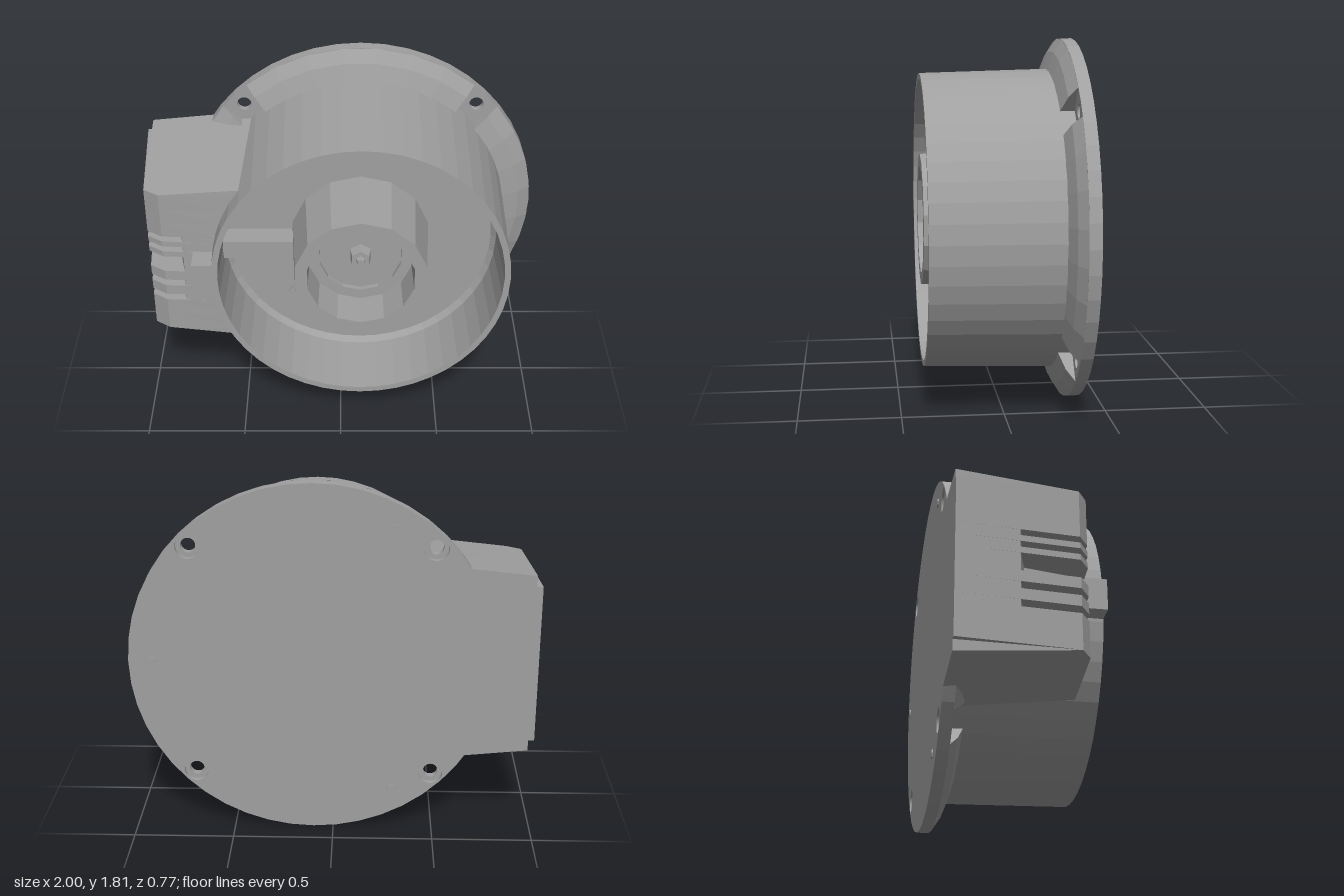
import * as THREE from 'three';

const CX = 0.1, CY = 0.905, BACK = -0.38;
const metal = new THREE.MeshStandardMaterial({ color: 0xa0a0a0, flatShading: true, side: THREE.DoubleSide });
metal.name = 'grey metal';

function add(parent, name, geometry, x = 0, y = 0, z = 0) {
  const mesh = new THREE.Mesh(geometry, metal);
  mesh.name = name;
  mesh.position.set(x, y, z);
  parent.add(mesh);
  return mesh;
}

// Revolve a list of [radius, z] around the z axis
function turned(profile, sides, start = 0, length = Math.PI * 2) {
  const pts = profile.map(([r, z]) => new THREE.Vector2(r, z));
  return new THREE.LatheGeometry(pts, sides, start, length).rotateX(Math.PI / 2);
}

function extrude(shape, depth, curveSegments = 24) {
  return new THREE.ExtrudeGeometry(shape, { depth, bevelEnabled: false, curveSegments });
}

// Solid between two matching loops of [x, y, z]
function loft(lower, upper) {
  const n = lower.length, index = [];
  for (let i = 0; i < n; i++) {
    const j = (i + 1) % n;
    index.push(i, n + i, j, j, n + i, n + j);
  }
  for (let i = 1; i < n - 1; i++) index.push(0, i, i + 1, n, n + i + 1, n + i);
  const g = new THREE.BufferGeometry();
  g.setAttribute('position', new THREE.Float32BufferAttribute([...lower, ...upper].flat(), 3));
  g.setIndex(index);
  g.computeVertexNormals();
  return g;
}

// Mounting disc with four holes of the given radius
function disc(holeRadius) {
  const shape = new THREE.Shape();
  shape.absarc(0, 0, 0.903, 0, Math.PI * 2);
  for (let k = 0; k < 4; k++) {
    const a = Math.PI / 4 + k * Math.PI / 2;
    const hole = new THREE.Path();
    hole.absarc(0.834 * Math.cos(a), 0.834 * Math.sin(a), holeRadius, 0, Math.PI * 2, true);
    shape.holes.push(hole);
  }
  return shape;
}

function buildFlange() {
  const flange = new THREE.Group();
  flange.name = 'mountingFlange';
  flange.position.set(CX, CY, 0);
  add(flange, 'backPlate', extrude(disc(0.06), 0.025), 0, 0, BACK);
  add(flange, 'flangePlate', extrude(disc(0.036), 0.035), 0, 0, BACK + 0.025);

  // Sloped collar, interrupted by a flat pocket at every bolt hole
  const slope = [[0.903, -0.32], [0.84, -0.28], [0.75, -0.25]];
  const end = new THREE.Shape([...slope, [0.75, -0.32]].map(([r, z]) => new THREE.Vector2(r, z)));
  const gap = THREE.MathUtils.degToRad(5.5);
  for (let k = 0; k < 4; k++) {
    const start = Math.PI / 4 + k * Math.PI / 2 + gap;
    const length = Math.PI / 2 - 2 * gap;
    add(flange, 'collar', turned(slope, 7, start, length));
    for (const phi of [start, start + length]) {
      const cap = new THREE.ShapeGeometry(end).rotateY(phi - Math.PI / 2).rotateX(Math.PI / 2);
      add(flange, 'collarEnd', cap);
    }
  }

  // Small screws on the back
  for (let k = 0; k < 3; k++) {
    const a = k * Math.PI * 2 / 3;
    add(flange, 'backScrew', new THREE.CylinderGeometry(0.024, 0.024, 0.008, 8).rotateX(Math.PI / 2),
      0.79 * Math.cos(a), 0.79 * Math.sin(a), BACK - 0.003);
  }
  return flange;
}

function buildDrum() {
  const drum = new THREE.Group();
  drum.name = 'drum';
  drum.position.set(CX, CY, 0);
  // Outer wall, rim, inner wall and floor
  add(drum, 'drumShell', turned([[0.755, -0.35], [0.735, 0.38], [0.705, 0.38], [0.695, 0.03],
    [0.672, 0], [0.3, 0]], 48));
  // Hollow hub with a stepped seat
  add(drum, 'hub', turned([[0.355, 0], [0.332, 0.38], [0.27, 0.38], [0.265, 0.19],
    [0.21, 0.19], [0.21, 0.165], [0, 0.165]], 14));
  add(drum, 'centreBolt', new THREE.CylinderGeometry(0.05, 0.06, 0.06, 6).rotateX(Math.PI / 2), 0, 0, 0.19);
  add(drum, 'boltTip', new THREE.CylinderGeometry(0.018, 0.025, 0.03, 6).rotateX(Math.PI / 2), 0, 0, 0.23);
  // Rib from the wall to the hub
  add(drum, 'rib', new THREE.BoxGeometry(0.36, 0.1, 0.12), -0.52, -0.01, 0.06);
  return drum;
}

function buildTerminalBox() {
  const box = new THREE.Group();
  box.name = 'terminalBox';
  // Inner end stays within the drum wall
  const innerX = y => CX - Math.sqrt(0.72 ** 2 - (y - CY) ** 2);
  const full = y => [[innerX(y), BACK], [-1, BACK], [-0.955, 0.2], [-0.88, 0.25], [innerX(y), 0.265]];
  const cut = y => [[innerX(y), BACK], [-1, BACK], [-0.976, -0.08], [-0.84, -0.04], [-0.78, 0.254], [innerX(y), 0.265]];
  const level = (profile, y) => profile(y).map(([x, z]) => [x, y, z]);

  // Stacked slices: the slotted ones form the vents
  const slots = [[0.68, 0.715], [0.77, 0.805], [0.86, 0.95], [0.98, 1.01], [1.04, 1.07]];
  const levels = [0.5, 0.59, ...slots.flat(), 1.15, 1.23, 1.31];
  for (let i = 0; i < levels.length - 1; i++) {
    const isSlot = slots.some(s => s[0] === levels[i]);
    const profile = isSlot ? cut : full;
    add(box, isSlot ? 'ventSlice' : 'boxSlice',
      loft(level(profile, levels[i]), level(profile, levels[i + 1])));
  }

  // Sloping top and bottom covers, stepped in from the end
  for (const side of [1, -1]) {
    const base = CY + side * 0.405;
    const edge = level(full, base).map(([x, y, z], i) => [i === 1 ? -0.97 : x, y, z]);
    const outer = edge.map(([x, , z]) => {
      const h = 0.462 - 0.07 * (z - BACK) / 0.64 + 0.12 * (x + 0.95);
      const y = CY + side * Math.max(h, 0.407);
      return [x > -0.8 ? innerX(y) : x, y, z];
    });
    add(box, side > 0 ? 'topCover' : 'bottomCover', loft(edge, outer));
  }

  // Cable lead joining the box to the rim
  add(box, 'cableLead', new THREE.BoxGeometry(0.11, 0.16, 0.16), -0.675, 0.905, 0.298);
  return box;
}

export function createModel() {
  const model = new THREE.Group();
  model.name = 'drumHousing';
  model.add(buildFlange(), buildDrum(), buildTerminalBox());

  // Bent tab lying on the drum floor
  const tab = new THREE.Shape([[-0.275, 0.556], [-0.2, 0.475], [0.14, 0.33], [0.17, 0.46],
    [-0.115, 0.567], [-0.18, 0.66]].map(([x, y]) => new THREE.Vector2(x, y)));
  add(model, 'floorTab', extrude(tab, 0.03), 0, 0, 0);
  return model;
}
